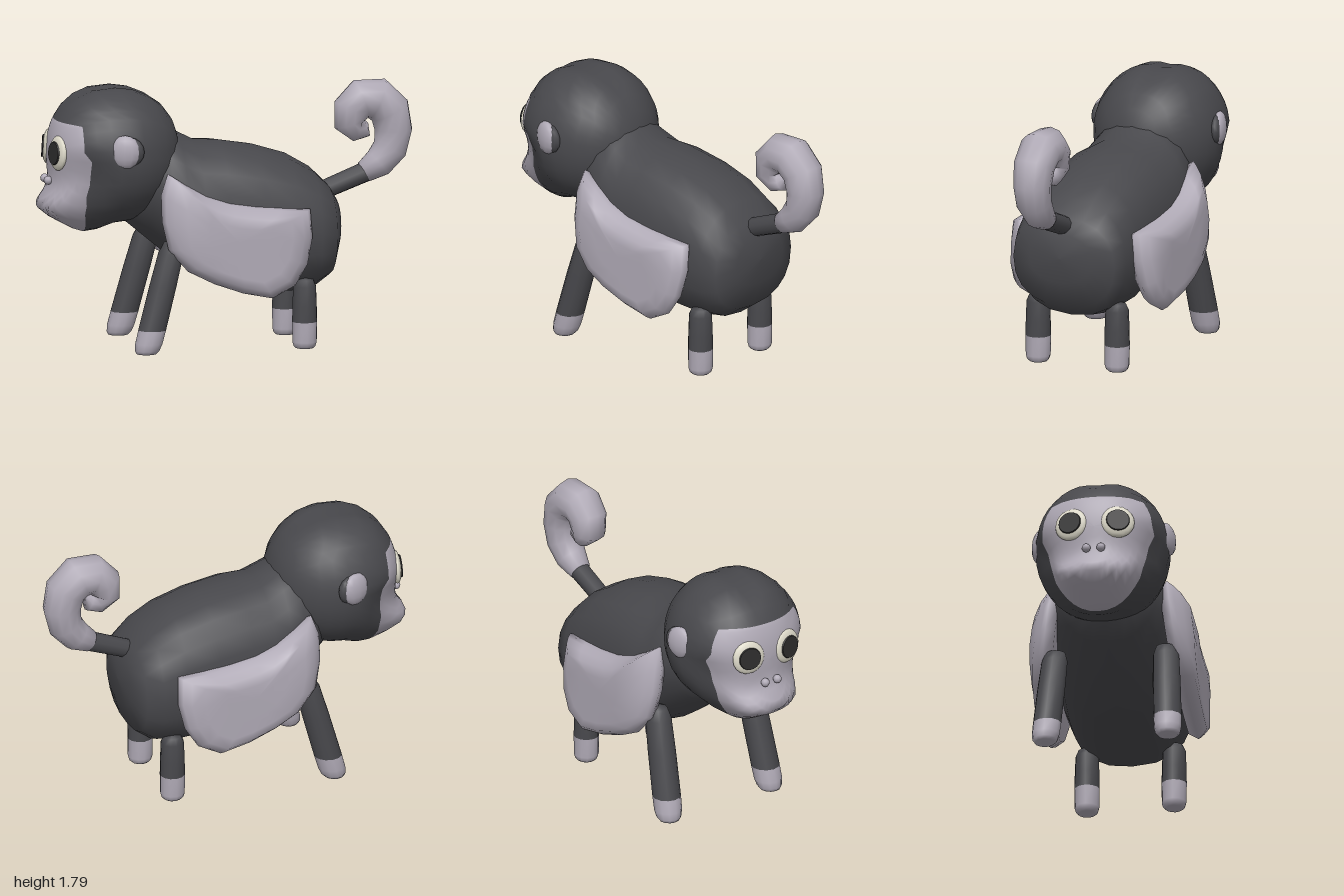
import * as THREE from 'three';

const paint = (name, color) => {
  const m = new THREE.MeshStandardMaterial({ color });
  m.name = name;
  return m;
};

// Closed tube of rows from f(row, column) -> [x, y, z]; rows from splitRow on use the second material.
function surface(rows, cols, f, flip = false, splitRow = rows) {
  const pos = [], index = [];
  for (let i = 0; i <= rows; i++) for (let j = 0; j < cols; j++) pos.push(...f(i, j));
  for (let i = 0; i < rows; i++) for (let j = 0; j < cols; j++) {
    const k = (j + 1) % cols;
    const a = i * cols + j, b = i * cols + k, c = b + cols, d = a + cols;
    index.push(...(flip ? [a, c, b, a, d, c] : [a, b, c, a, c, d]));
  }
  const g = new THREE.BufferGeometry();
  g.setAttribute('position', new THREE.Float32BufferAttribute(pos, 3));
  g.setIndex(index);
  g.computeVertexNormals();
  if (splitRow < rows) {
    g.addGroup(0, splitRow * cols * 6, 0);
    g.addGroup(splitRow * cols * 6, (rows - splitRow) * cols * 6, 1);
  }
  return g;
}

const power = (v, e) => Math.sign(v) * Math.abs(v) ** e;
const step = THREE.MathUtils.smoothstep;

// Body: superellipse sections [z, bottom, top, half width] from rump to neck, rounder towards the neck.
function bodyGeometry() {
  const s = [[-0.83, 0.81, 0.81, 0], [-0.82, 0.64, 0.98, 0.23], [-0.76, 0.46, 1.08, 0.38],
    [-0.65, 0.38, 1.19, 0.415], [-0.48, 0.35, 1.29, 0.43], [-0.25, 0.36, 1.36, 0.44],
    [0, 0.43, 1.4, 0.44], [0.16, 0.51, 1.41, 0.43], [0.28, 0.59, 1.47, 0.41], [0.38, 0.66, 1.52, 0.39],
    [0.5, 0.76, 1.5, 0.34], [0.62, 0.86, 1.35, 0.24], [0.72, 1.1, 1.1, 0]];
  const cols = 20;
  return surface(s.length - 1, cols, (i, j) => {
    const [z, lo, hi, w] = s[i], a = (j / cols) * Math.PI * 2;
    const e = 0.82 + 0.2 * step(z, -0.1, 0.4);
    return [w * power(Math.cos(a), e), (lo + hi) / 2 + (hi - lo) / 2 * power(Math.sin(a), e + 0.06), z];
  });
}

// Head: ball from back to front with a flattened face, narrow jaw and pushed-out muzzle; its last rows form the face.
function headGeometry() {
  const cols = 40, back = 10, front = 9;
  return surface(back + front, cols, (i, j) => {
    const phi = (j / cols) * Math.PI * 2, up = Math.sin(phi);
    let edge = up > 0.08 ? 0.98 : up > -0.5 ? 1.12 : 1.16;
    if (up > 0) edge = Math.min(edge, Math.asin(Math.min(1, 0.5 / Math.max(up, 0.01))));
    const t = i <= back ? Math.PI + (edge - Math.PI) * i / back : edge * (1 - (i - back) / front);
    const r = Math.sin(t), c = Math.cos(t);
    let x = 0.455 * power(r * Math.cos(phi), 0.95);
    let y = 0.47 * power(r * up, 0.97);
    let z = 0.71 + (c > 0 ? 0.45 * c ** 0.8 : 0.45 * c);
    if (y < 0) y *= 1 + 0.26 * step(z, 0.7, 1);
    else y -= 0.025 * Math.exp(-((x / 0.08) ** 2)) * step(y, 0.3, 0.45);
    x *= 1 - 0.17 * step(z, 0.75, 0.95) * step(-y, -0.1, 0.12);
    y += 1.335;
    z += 0.14 * Math.exp(-(((y - 0.98) / 0.11) ** 2)) * step(z, 0.88, 1.02);
    return [x, y, z];
  }, false, back);
}

// Flank panel: plump plate with an outline of [z, y] points and a flat outer side.
function flankGeometry(side) {
  const outline = [[0.42, 1.24], [0.47, 1.1], [0.47, 0.92], [0.43, 0.73], [0.3, 0.58], [0.12, 0.49],
    [-0.08, 0.42], [-0.28, 0.38], [-0.44, 0.46], [-0.53, 0.6], [-0.57, 0.78], [-0.56, 0.97],
    [-0.37, 0.98], [-0.18, 1.0], [0, 1.03], [0.16, 1.08], [0.3, 1.16]];
  const scales = [0, 0.92, 1, 0.95, 0.86, 0.7, 0.4, 0];
  return surface(scales.length - 1, outline.length, (i, j) => {
    const s = scales[i];
    const z = -0.04 + (outline[j][0] + 0.04) * s, y = 0.78 + (outline[j][1] - 0.78) * s;
    const rim = 0.39 + (1.24 - y) * 0.13;
    return [side * (i < 2 ? rim - 0.06 : Math.min(0.565, rim + 0.15 * (1 - s ** 5))), y, z];
  }, side < 0);
}

// Curled tail end: rings along [z, y, radius] points.
function curlGeometry() {
  const p = [[-1.02, 1.13, 0], [-1.03, 1.135, 0.075], [-1.13, 1.195, 0.105], [-1.21, 1.29, 0.12],
    [-1.235, 1.42, 0.13], [-1.21, 1.55, 0.14], [-1.12, 1.635, 0.145], [-1.01, 1.635, 0.14],
    [-0.945, 1.57, 0.13], [-0.94, 1.48, 0.12], [-0.985, 1.44, 0.095], [-1.04, 1.45, 0.075], [-1.06, 1.47, 0]];
  const cols = 12;
  return surface(p.length - 1, cols, (i, j) => {
    const a = p[Math.max(i - 1, 0)], b = p[Math.min(i + 1, p.length - 1)];
    const t = new THREE.Vector2(b[0] - a[0], b[1] - a[1]).normalize();
    const q = (j / cols) * Math.PI * 2, [z, y, r] = p[i], v = r * Math.sin(q);
    return [r * Math.cos(q), y + v * t.x, z - v * t.y];
  });
}

// Slanted leg with level rings: [fraction of height, fraction of radius]; the first rows are the foot.
function legGeometry(foot, hip, radius) {
  const rings = [[0, 0], [0, 0.7], [0.03, 0.88], [0.09, 0.98], [0.24, 1], [0.24, 1], [0.6, 0.98], [0.88, 0.92],
    [0.97, 0.7], [1, 0]];
  const cols = 12, h = hip[1] - foot[1], footTop = 0.18;
  return surface(rings.length - 1, cols, (i, j) => {
    const q = (j / cols) * Math.PI * 2, r = radius * rings[i][1];
    const f = i === 4 || i === 5 ? (footTop - foot[1]) / h : rings[i][0];
    const [x, y, z] = foot.map((v, k) => v + (hip[k] - v) * f);
    return [x + r * Math.sin(q), y, z + r * Math.cos(q)];
  }, false, 4);
}

export function createModel() {
  const dark = paint('dark fur', 0x48484c);
  const grey = paint('pale grey skin', 0xb0aab6);
  const cream = paint('cream eye', 0xdedaca);
  const black = paint('black pupil', 0x2e2d2d);

  const model = new THREE.Group();
  model.name = 'monkey';
  const animal = new THREE.Group();
  animal.name = 'turnedAnimal';
  animal.rotation.y = -Math.PI / 4;
  model.add(animal);

  const add = (name, geometry, material, parent = animal) => {
    const m = new THREE.Mesh(geometry, material);
    m.name = name;
    parent.add(m);
    return m;
  };

  add('body', bodyGeometry(), dark);
  add('head', headGeometry(), [dark, grey]);

  for (const s of [1, -1]) {
    const tag = s > 0 ? 'left' : 'right';
    add(tag + 'FlankPanel', flankGeometry(s), grey);
    add(tag + 'FrontLeg', legGeometry([s * 0.42, 0.02, 0.575], [s * 0.375, 0.79, 0.37], 0.097), [grey, dark]);
    add(tag + 'RearLeg', legGeometry([s * 0.297, 0, -0.55], [s * 0.297, 0.48, -0.55], 0.086), [grey, dark]);

    // Ear with a dark back
    const ear = new THREE.Group();
    ear.name = tag + 'Ear';
    ear.position.set(s * 0.435, 1.405, 0.725);
    ear.rotation.y = -s * 0.3;
    animal.add(ear);
    const ball = new THREE.SphereGeometry(1, 12, 8);
    add('earFront', ball, grey, ear).scale.set(0.05, 0.115, 0.105);
    const earBack = add('earBack', ball, dark, ear);
    earBack.scale.set(0.045, 0.1, 0.1);
    earBack.position.set(-s * 0.015, 0, -0.03);

    // Eye with a thin pupil
    const eye = new THREE.Group();
    eye.name = tag + 'Eye';
    eye.position.set(s * 0.158, 1.37, 1.125);
    eye.rotation.set(-0.06, s * 0.22, 0);
    animal.add(eye);
    add('eyeball', new THREE.SphereGeometry(1, 20, 10), cream, eye).scale.set(0.115, 0.118, 0.036);
    const pupil = add('pupil', new THREE.CylinderGeometry(0.076, 0.08, 0.009, 20), black, eye);
    pupil.rotation.x = Math.PI / 2;
    pupil.position.z = 0.034;

    // Nostril bead
    add(tag + 'Nostril', new THREE.SphereGeometry(0.03, 10, 8), grey).position.set(s * 0.05, 1.17, 1.17);
  }

  // Tail: dark root and pale curl
  const root = add('tailRoot', new THREE.CylinderGeometry(0.07, 0.065, 0.36, 10), dark);
  root.position.set(0, 1.075, -0.88);
  root.rotation.x = -1.2;
  add('tailCurl', curlGeometry(), grey);

  return model;
}
